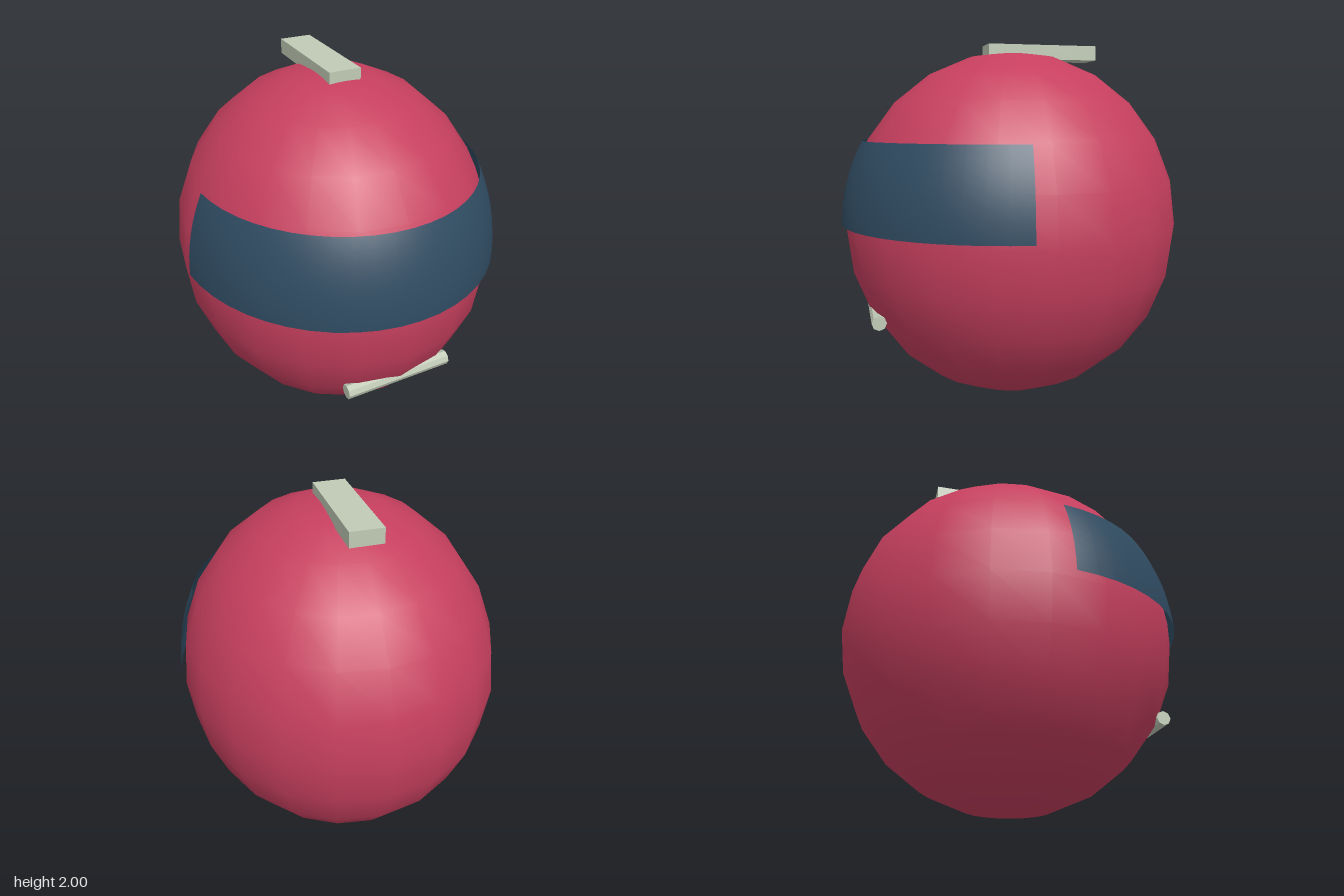
import * as THREE from 'three';

export function createModel() {
  const group = new THREE.Group();
  const material = (name, color) => {
    const m = new THREE.MeshStandardMaterial({ color });
    m.name = name;
    return m;
  };
  const red = material('crimson shell', 0xc63f5e);
  const navy = material('navy visor', 0x2f4b61);
  const pale = material('pale trim', 0xc0cab5);
  navy.side = THREE.DoubleSide;

  const add = (name, geometry, mat, x, y, z) => {
    const mesh = new THREE.Mesh(geometry, mat);
    mesh.name = name;
    mesh.position.set(x, y, z);
    group.add(mesh);
    return mesh;
  };
  const cy = 0.985, cz = -0.012;

  // Egg-shaped helmet shell
  add('shell', new THREE.SphereGeometry(1, 20, 12), red, 0, cy, cz).scale.set(0.88, 0.98, 0.95);

  // Curved visor band wrapping the front half
  const start = 0.125, end = Math.PI - 0.115;
  const top = Math.acos(0.485), bottom = Math.acos(0.026);
  add('visor', new THREE.SphereGeometry(1, 24, 8, start, end - start, top, bottom - top),
    navy, 0, cy, cz).scale.set(0.896, 1, 0.975);

  // Flat ridge along the crown
  add('crownRidge', new THREE.BoxGeometry(0.175, 0.08, 0.625), pale, 0, 1.96, -0.168);

  // Eight-sided bar across the chin
  const bar = new THREE.CylinderGeometry(0.04, 0.04, 0.61, 8).rotateZ(Math.PI / 2);
  const barMat = material('pale chin trim', 0xc0cab5);
  barMat.flatShading = true;
  add('chinBar', bar, barMat, 0, 0.518, 0.79);

  return group;
}
